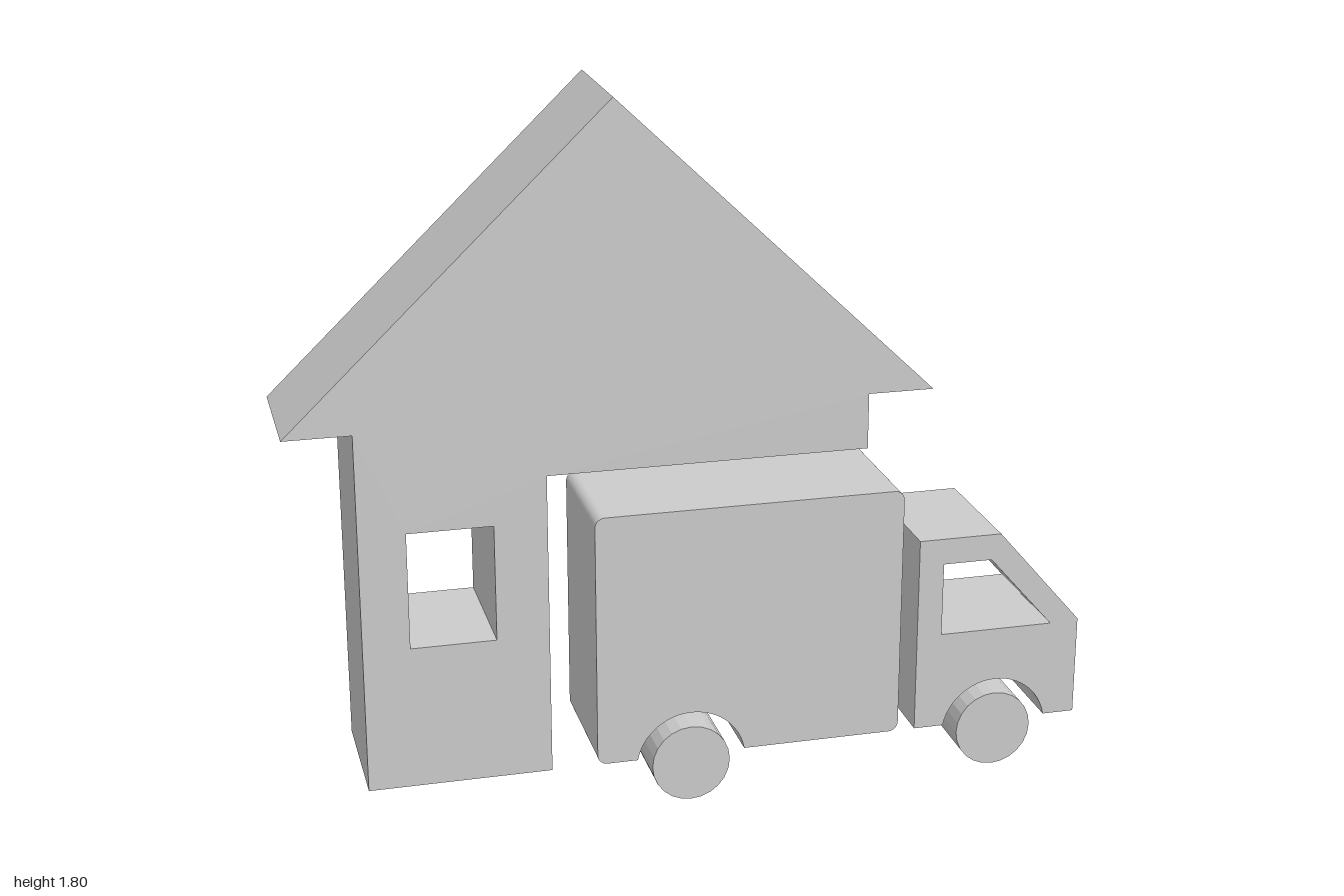
import * as THREE from 'three';

const DEPTH = 0.34;
const WHEEL_R = 0.1;
const ARCH_R = 0.14;
const BASE = 0.125; // underside of the house and truck bodies
const WHEELS = { rear: -0.025, front: 0.78 };

const points = (list) => list.map(([x, y]) => new THREE.Vector2(x, y));

// Cuts a wheel arch into the bottom edge, going left to right
function addArch(shape, x) {
  const a = Math.asin((BASE - WHEEL_R) / ARCH_R);
  shape.lineTo(x - ARCH_R * Math.cos(a), BASE);
  shape.absarc(x, WHEEL_R, ARCH_R, Math.PI - a, a, true);
}

export function createModel() {
  const group = new THREE.Group();
  const material = new THREE.MeshStandardMaterial({ color: 0xcccccc, flatShading: true });

  function addSlab(name, shape) {
    const geometry = new THREE.ExtrudeGeometry(shape, { depth: DEPTH, bevelEnabled: false, curveSegments: 12 });
    geometry.translate(0, 0, -DEPTH / 2);
    const mesh = new THREE.Mesh(geometry, material);
    mesh.name = name;
    group.add(mesh);
  }

  // House with gable roof, overhanging upper floor and window
  const house = new THREE.Shape(points([
    [-0.835, BASE], [-0.38, BASE], [-0.38, 0.9], [0.42, 0.9], [0.42, 1.04],
    [0.585, 1.04], [-0.21, 1.8], [-1, 1.04], [-0.835, 1.04],
  ]));
  house.holes.push(new THREE.Path(points([
    [-0.72, 0.49], [-0.72, 0.785], [-0.51, 0.785], [-0.51, 0.49],
  ])));
  addSlab('house', house);

  // Cargo box with rounded corners
  const [l, r, t, c] = [-0.265, 0.52, 0.78, 0.025];
  const cargo = new THREE.Shape();
  cargo.moveTo(l + c, BASE);
  addArch(cargo, WHEELS.rear);
  cargo.lineTo(r - c, BASE);
  cargo.absarc(r - c, BASE + c, c, -Math.PI / 2, 0, false);
  cargo.absarc(r - c, t - c, c, 0, Math.PI / 2, false);
  cargo.absarc(l + c, t - c, c, Math.PI / 2, Math.PI, false);
  cargo.absarc(l + c, BASE + c, c, Math.PI, Math.PI * 1.5, false);
  addSlab('cargoBox', cargo);

  // Cab with sloped windscreen and side window
  const cab = new THREE.Shape();
  cab.moveTo(0.565, BASE);
  addArch(cab, WHEELS.front);
  cab.lineTo(1, BASE);
  cab.lineTo(1, 0.385);
  cab.lineTo(0.78, 0.64);
  cab.lineTo(0.565, 0.64);
  cab.closePath();
  cab.holes.push(new THREE.Path(points([
    [0.63, 0.38], [0.63, 0.572], [0.757, 0.572], [0.925, 0.38],
  ])));
  addSlab('cab', cab);

  // Wheels run through the full depth
  for (const [name, x] of Object.entries(WHEELS)) {
    const wheel = new THREE.Mesh(new THREE.CylinderGeometry(WHEEL_R, WHEEL_R, DEPTH, 24), material);
    wheel.name = name + 'Wheel';
    wheel.rotation.x = Math.PI / 2;
    wheel.position.set(x, WHEEL_R, 0);
    group.add(wheel);
  }
  return group;
}
